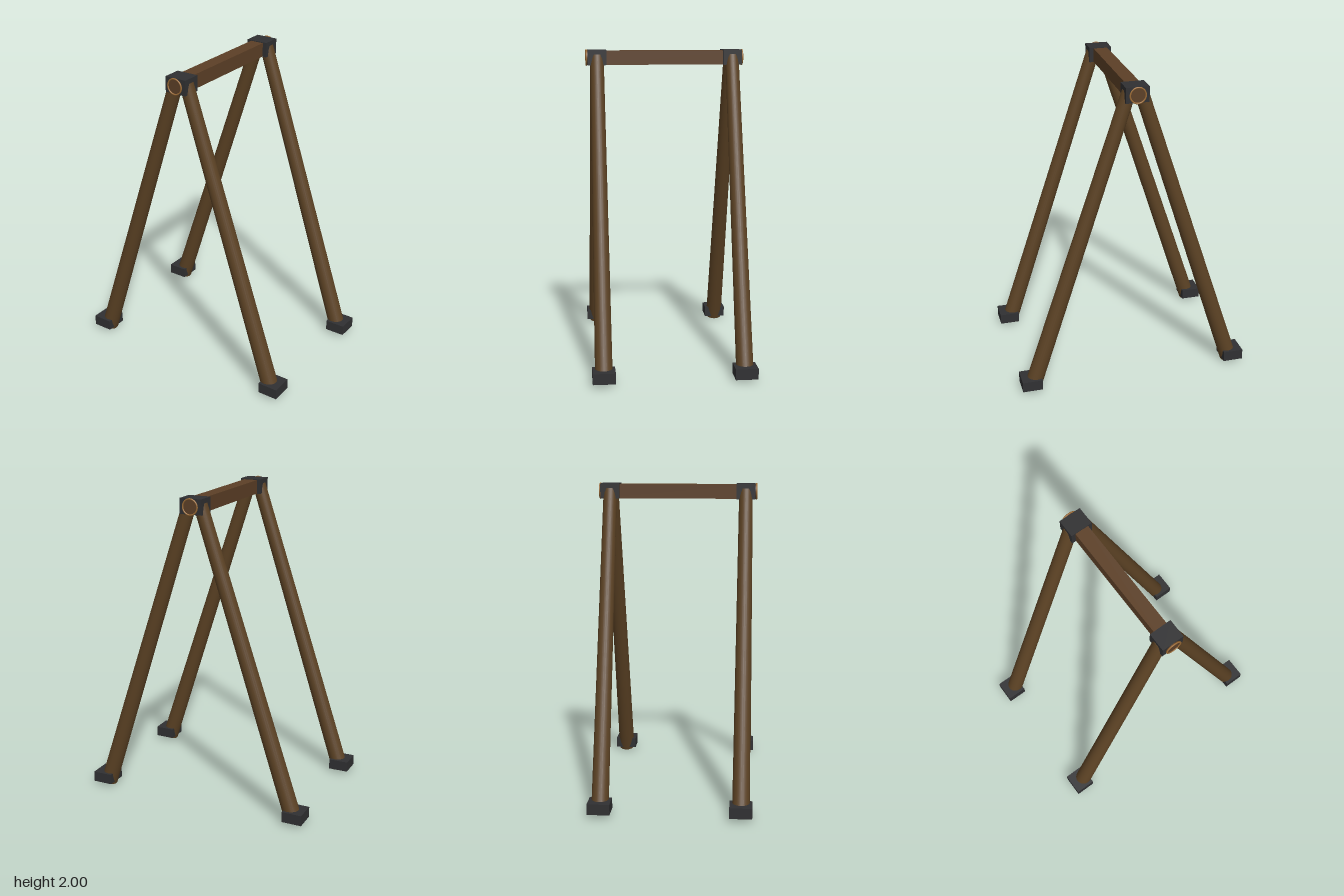
import * as THREE from 'three';

const mat = (name, color) => {
  const m = new THREE.MeshStandardMaterial({ color });
  m.name = name;
  return m;
};

export function createModel() {
  const legWood = mat('leg wood', 0x5c4224);
  const beamWood = mat('beam wood', 0x5c3f26);
  const darkMetal = mat('dark metal', 0x303032);
  const paleWood = mat('pale rim', 0x9a6a35);

  const model = new THREE.Group();
  model.name = 'aFrameStand';

  const add = (name, geometry, material, x, y, z) => {
    const mesh = new THREE.Mesh(geometry, material);
    mesh.name = name;
    mesh.position.set(x, y, z);
    model.add(mesh);
    return mesh;
  };

  // Tapered leg, running from the foot up to the apex bracket
  const foot = new THREE.Vector3(0.672, 0.018, 0);
  const apex = new THREE.Vector3(0.036, 1.955, 0);
  const axis = apex.clone().sub(foot);
  const middle = apex.clone().add(foot).multiplyScalar(0.5);
  const tilt = Math.atan2(axis.x, axis.y);
  const legGeometry = new THREE.CylinderGeometry(0.043, 0.054, axis.length(), 24);

  const footGeometry = new THREE.BoxGeometry(0.13, 0.068, 0.14);
  const bracketGeometry = new THREE.BoxGeometry(0.144, 0.096, 0.12);
  const discGeometry = new THREE.CylinderGeometry(0.048, 0.048, 0.008, 28);
  const rimGeometry = new THREE.TorusGeometry(0.048, 0.005, 8, 32);

  // Square crossbeam
  add('crossbeam', new THREE.BoxGeometry(0.09, 0.09, 0.98), beamWood, 0, 1.946, 0);

  for (const [end, sz] of [['front', 1], ['back', -1]]) {
    const z = 0.435 * sz;
    for (const [side, sx] of [['Left', 1], ['Right', -1]]) {
      const leg = add(`${end}${side}Leg`, legGeometry, legWood, middle.x * sx, middle.y, z);
      leg.rotation.z = -tilt * sx;
      add(`${end}${side}Foot`, footGeometry, darkMetal, 0.684 * sx, 0.056, z);
    }
    // Apex bracket with a round rimmed end cap
    add(`${end}Bracket`, bracketGeometry, darkMetal, 0, 1.948, z);
    add(`${end}EndCap`, discGeometry, beamWood, 0, 1.947, 0.499 * sz).rotation.x = Math.PI / 2;
    add(`${end}EndRim`, rimGeometry, paleWood, 0, 1.947, 0.503 * sz);
  }
  return model;
}
